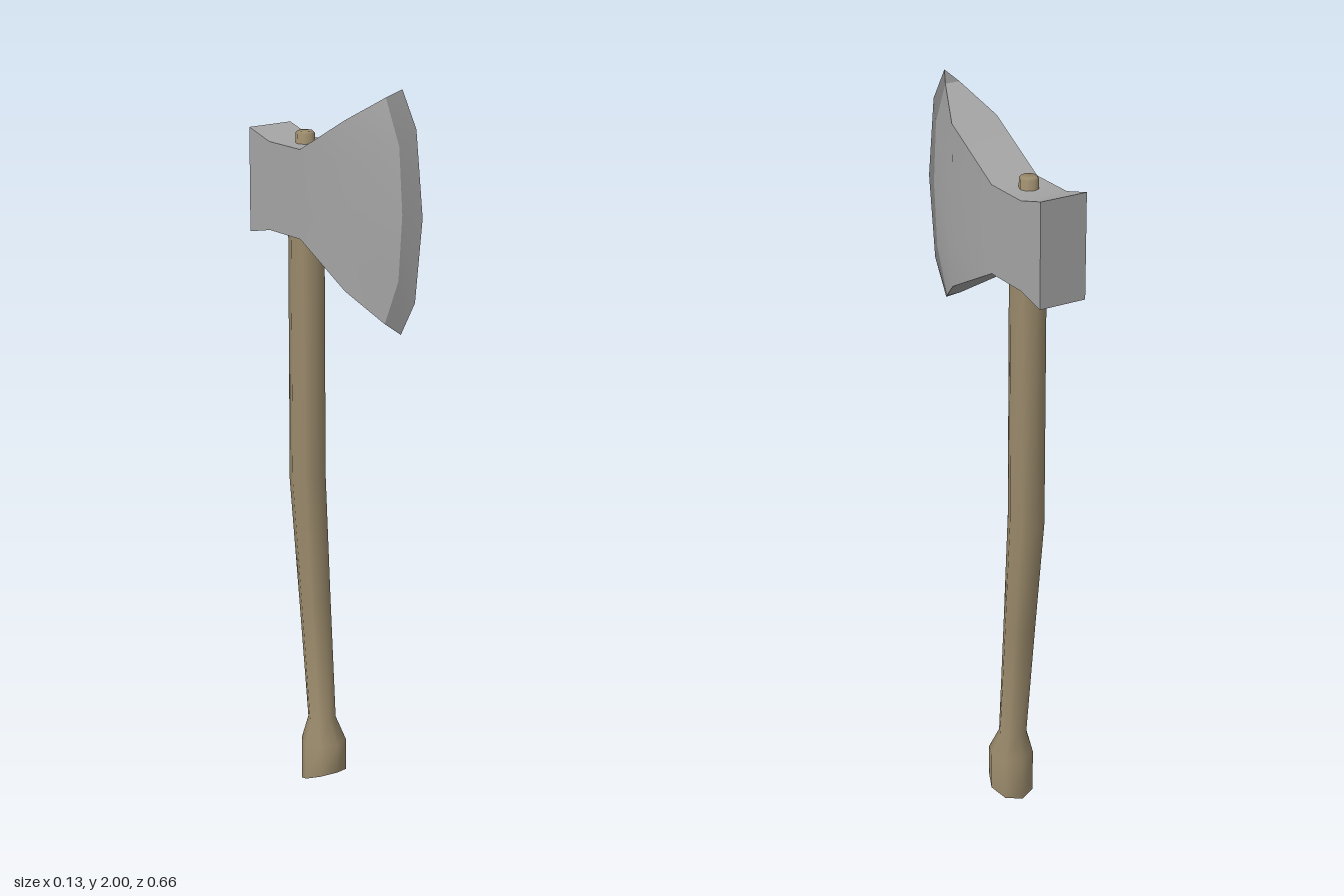
import * as THREE from 'three';
import { toCreasedNormals } from 'three/addons/utils/BufferGeometryUtils.js';

// Skin a list of closed rings; rings run counter-clockwise seen from the end.
function loft(rings, capStart, capEnd, crease) {
  const pos = [];
  const tri = (a, b, c) => {
    const t = new THREE.Triangle(a, b, c);
    if (t.getArea() > 1e-8) pos.push(...a.toArray(), ...b.toArray(), ...c.toArray());
  };
  const n = rings[0].length;
  for (let i = 0; i < rings.length - 1; i++) {
    for (let j = 0; j < n; j++) {
      const k = (j + 1) % n;
      const [a, b, c, d] = [rings[i][j], rings[i][k], rings[i + 1][k], rings[i + 1][j]];
      tri(a, b, c);
      tri(a, c, d);
    }
  }
  const first = rings[0], last = rings[rings.length - 1];
  for (let j = 1; j < n - 1; j++) {
    if (capStart) tri(first[0], first[j + 1], first[j]);
    if (capEnd) tri(last[0], last[j], last[j + 1]);
  }
  const g = new THREE.BufferGeometry();
  g.setAttribute('position', new THREE.Float32BufferAttribute(pos, 3));
  return toCreasedNormals(g, THREE.MathUtils.degToRad(crease));
}

// Mirror a bottom-to-top column of [z, y, halfWidth] into a ring.
function headRing(column) {
  const left = column.map(([z, y, w]) => new THREE.Vector3(w, y, z));
  const right = column.map(([z, y, w]) => new THREE.Vector3(-w, y, z)).reverse();
  return [...left, ...right];
}

// Straight upright column of five points.
function straight(z, bottom, top, w) {
  return [0, 0.25, 0.5, 0.75, 1].map((t) => [z, bottom + (top - bottom) * t, w]);
}

// Eight-sided handle ring; tilt raises its front.
function handleRing([y, z, rx, rz, tilt = 0]) {
  return Array.from({ length: 8 }, (_, i) => {
    const a = (i * Math.PI) / 4;
    return new THREE.Vector3(rx * Math.cos(a), y - tilt * Math.sin(a), z - rz * Math.sin(a));
  });
}

export function createModel() {
  const group = new THREE.Group();
  const steel = new THREE.MeshStandardMaterial({ color: 0xa5a5a5 });
  const darkSteel = new THREE.MeshStandardMaterial({ color: 0x868686 });
  const wood = new THREE.MeshStandardMaterial({ color: 0x9b8b6c });
  const add = (name, geometry, material) => {
    const mesh = new THREE.Mesh(geometry, material);
    mesh.name = name;
    group.add(mesh);
  };

  // Where the cheeks meet the bevel, and the sharp edge itself
  const bevelStart = [
    [0.203, 1.392, 0.021], [0.256, 1.515, 0.019], [0.27, 1.688, 0.019],
    [0.256, 1.86, 0.019], [0.203, 1.976, 0.021],
  ];
  const edge = [
    [0.243, 1.369, 0], [0.3, 1.464, 0], [0.328, 1.688, 0], [0.3, 1.908, 0], [0.243, 2, 0],
  ];

  // Axe head from the poll forward
  const head = [
    straight(-0.328, 1.545, 1.828, 0.067),
    straight(-0.237, 1.565, 1.803, 0.067),
    straight(-0.1, 1.565, 1.803, 0.067),
    straight(0.094, 1.464, 1.908, 0.067),
    bevelStart,
  ];
  add('axeHead', loft(head.map(headRing), true, false, 35), steel);
  add('cuttingEdge', loft([bevelStart, edge].map(headRing), false, false, 35), darkSteel);

  // Handle: slanted knob, neck, curved grip, straight shaft
  const handle = [
    [0.024, -0.092, 0.063, 0.062, 0.024],
    [0.13, -0.092, 0.063, 0.062],
    [0.195, -0.101, 0.041, 0.035],
    [0.54, -0.133, 0.045, 0.042],
    [0.88, -0.164, 0.05, 0.049, 0.012],
    [1.6, -0.165, 0.05, 0.047],
  ];
  add('handle', loft(handle.map(handleRing), true, true, 60), wood);

  // Handle end showing above the head
  const peg = [
    [1.6, -0.168, 0.026, 0.026],
    [1.829, -0.168, 0.026, 0.026],
    [1.835, -0.168, 0.021, 0.021],
  ];
  add('handleTip', loft(peg.map(handleRing), true, true, 60), wood);

  return group;
}
